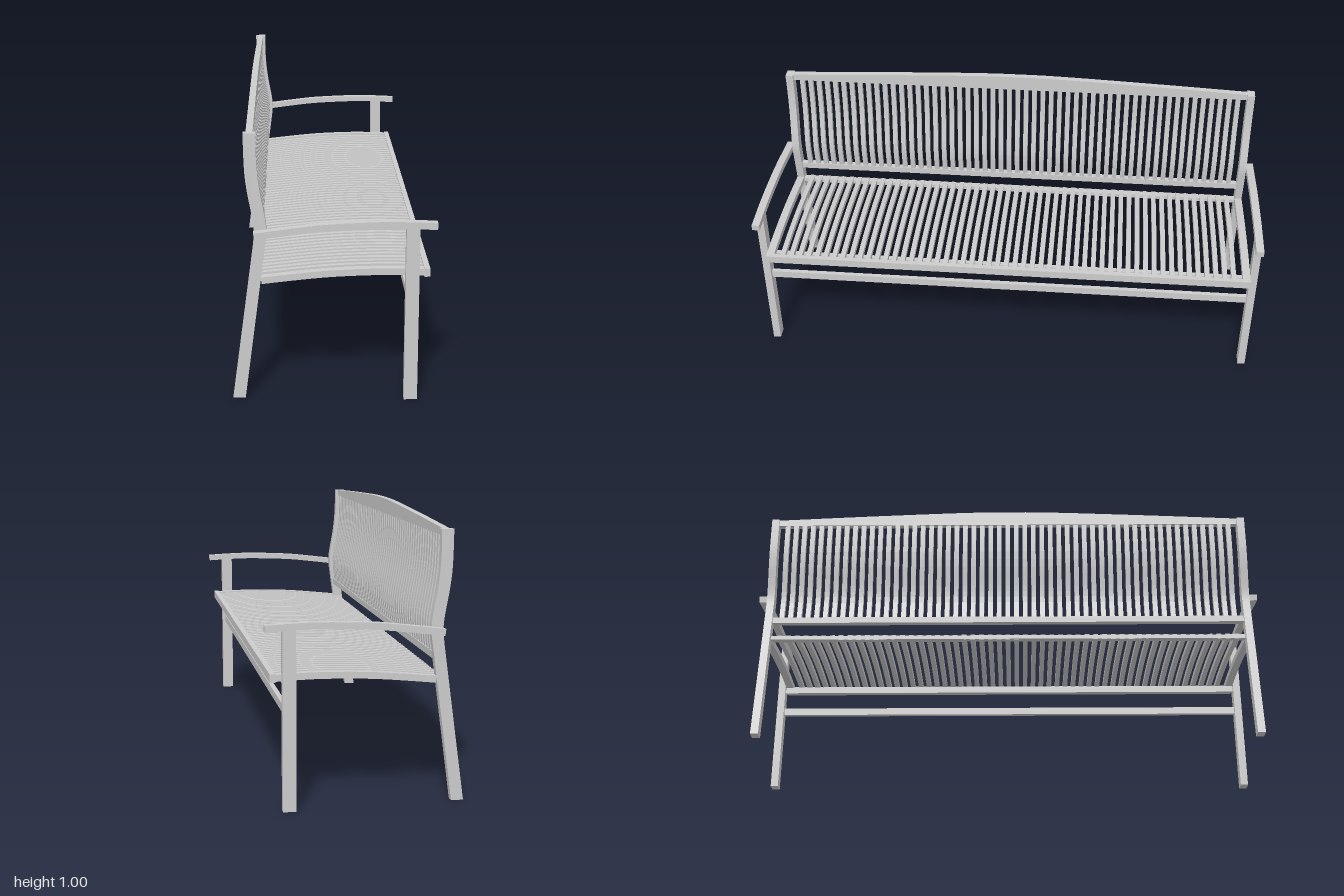
import * as THREE from 'three';

const material = new THREE.MeshStandardMaterial({ color: 0xcccccc, flatShading: true });
const vec = ([x, y]) => new THREE.Vector2(x, y);

function add(parent, name, geometry) {
  const mesh = new THREE.Mesh(geometry, material);
  mesh.name = name;
  parent.add(mesh);
  return mesh;
}

// Box given by its limits on each axis
function box(parent, name, x0, x1, y0, y1, z0, z1) {
  const mesh = add(parent, name, new THREE.BoxGeometry(x1 - x0, y1 - y0, z1 - z0));
  mesh.position.set((x0 + x1) / 2, (y0 + y1) / 2, (z0 + z1) / 2);
}

// Outline of a bar of constant thickness bent along a smooth centre line
function bentBar(points, thickness, steps = 14) {
  const curve = new THREE.SplineCurve(points.map(vec));
  const right = [], left = [];
  for (let i = 0; i <= steps; i++) {
    const p = curve.getPoint(i / steps), t = curve.getTangent(i / steps);
    const n = new THREE.Vector2(t.y, -t.x).multiplyScalar(thickness / 2);
    right.push(p.clone().add(n));
    left.unshift(p.clone().sub(n));
  }
  return new THREE.Shape([...right, ...left]);
}

const extrude = (shape, depth) =>
  new THREE.ExtrudeGeometry(shape, { depth, bevelEnabled: false, curveSegments: 4 });

export function createModel() {
  const bench = new THREE.Group();
  bench.name = 'gardenBench';

  // Side profiles: the bench faces +x and its length runs along z
  const backCurve = [[-0.262, 0.52], [-0.252, 0.6], [-0.254, 0.65], [-0.262, 0.70],
    [-0.272, 0.755], [-0.280, 0.82], [-0.283, 0.89], [-0.284, 0.945]];
  const seatCurve = [[-0.1, 0.457], [0, 0.465], [0.1, 0.469], [0.2, 0.470], [0.318, 0.466]];
  const armCurve = [[-0.273, 0.611], [-0.1, 0.633], [0, 0.642], [0.15, 0.648],
    [0.25, 0.647], [0.355, 0.642]];

  // Rear leg: straight raked foot, then a curved back post
  const legShape = new THREE.Shape();
  legShape.moveTo(-0.355, 0);
  legShape.lineTo(-0.311, 0);
  legShape.lineTo(-0.236, 0.56);
  legShape.splineThru([[-0.230, 0.61], [-0.232, 0.65], [-0.240, 0.70],
    [-0.250, 0.755], [-0.258, 0.82], [-0.262, 0.89], [-0.262, 0.965]].map(vec));
  legShape.lineTo(-0.305, 0.965);
  legShape.splineThru([[-0.304, 0.89], [-0.301, 0.82], [-0.293, 0.755],
    [-0.283, 0.70], [-0.275, 0.65], [-0.273, 0.61], [-0.278, 0.56]].map(vec));
  legShape.lineTo(-0.355, 0);

  const legGeometry = extrude(legShape, 0.03);
  const armGeometry = extrude(bentBar(armCurve, 0.024), 0.03);
  const sideRailGeometry = extrude(bentBar([[-0.25, 0.441], ...seatCurve], 0.024), 0.03);

  // Both ends: the armrest and front leg stand outside the rear leg and side rail
  for (const [name, innerZ, outerZ] of [['rightEnd', 0.94, 0.97], ['leftEnd', -0.97, -1]]) {
    const end = new THREE.Group();
    end.name = name;
    add(end, 'rearLeg', legGeometry).position.z = innerZ;
    add(end, 'seatSideRail', sideRailGeometry).position.z = innerZ;
    add(end, 'armrest', armGeometry).position.z = outerZ;
    box(end, 'frontLeg', 0.248, 0.295, 0, 0.638, outerZ, outerZ + 0.03);
    bench.add(end);
  }

  // Long rails
  box(bench, 'seatFrontRail', 0.315, 0.335, 0.45, 0.481, -0.97, 0.97);
  box(bench, 'seatBackRail', -0.276, -0.25, 0.43, 0.446, -0.94, 0.94);
  box(bench, 'underSeatBeam', 0.264, 0.282, 0.43, 0.458, -0.97, 0.97);
  box(bench, 'stretcher', 0.264, 0.282, 0.328, 0.358, -0.97, 0.97);
  box(bench, 'lowerBackRail', -0.273, -0.249, 0.505, 0.53, -0.94, 0.94);

  // Arched top rail, drawn along the length and turned to run along z
  const arch = new THREE.Shape();
  arch.moveTo(-0.94, 0.94);
  arch.lineTo(0.94, 0.94);
  arch.lineTo(0.94, 0.965);
  arch.splineThru([[0.6, 0.981], [0.2, 0.997], [0, 1], [-0.2, 0.997],
    [-0.6, 0.981], [-0.94, 0.965]].map(vec));
  const topRail = add(bench, 'topRail', extrude(arch, 0.024));
  topRail.rotation.y = Math.PI / 2;
  topRail.position.x = -0.296;

  // Evenly spaced slats of the seat and the backrest
  const gaps = 54, pitch = 1.88 / gaps, width = 0.019;
  const seatSlat = extrude(bentBar([[-0.274, 0.439], ...seatCurve], 0.02, 12), width);
  const backSlat = extrude(bentBar(backCurve, 0.018), width);
  const seat = new THREE.Group(), back = new THREE.Group();
  seat.name = 'seatSlats';
  back.name = 'backSlats';
  for (let i = 1; i < gaps; i++) {
    const z = -0.94 + i * pitch - width / 2;
    add(seat, 'seatSlat', seatSlat).position.z = z;
    add(back, 'backSlat', backSlat).position.z = z;
  }
  bench.add(seat, back);
  return bench;
}
